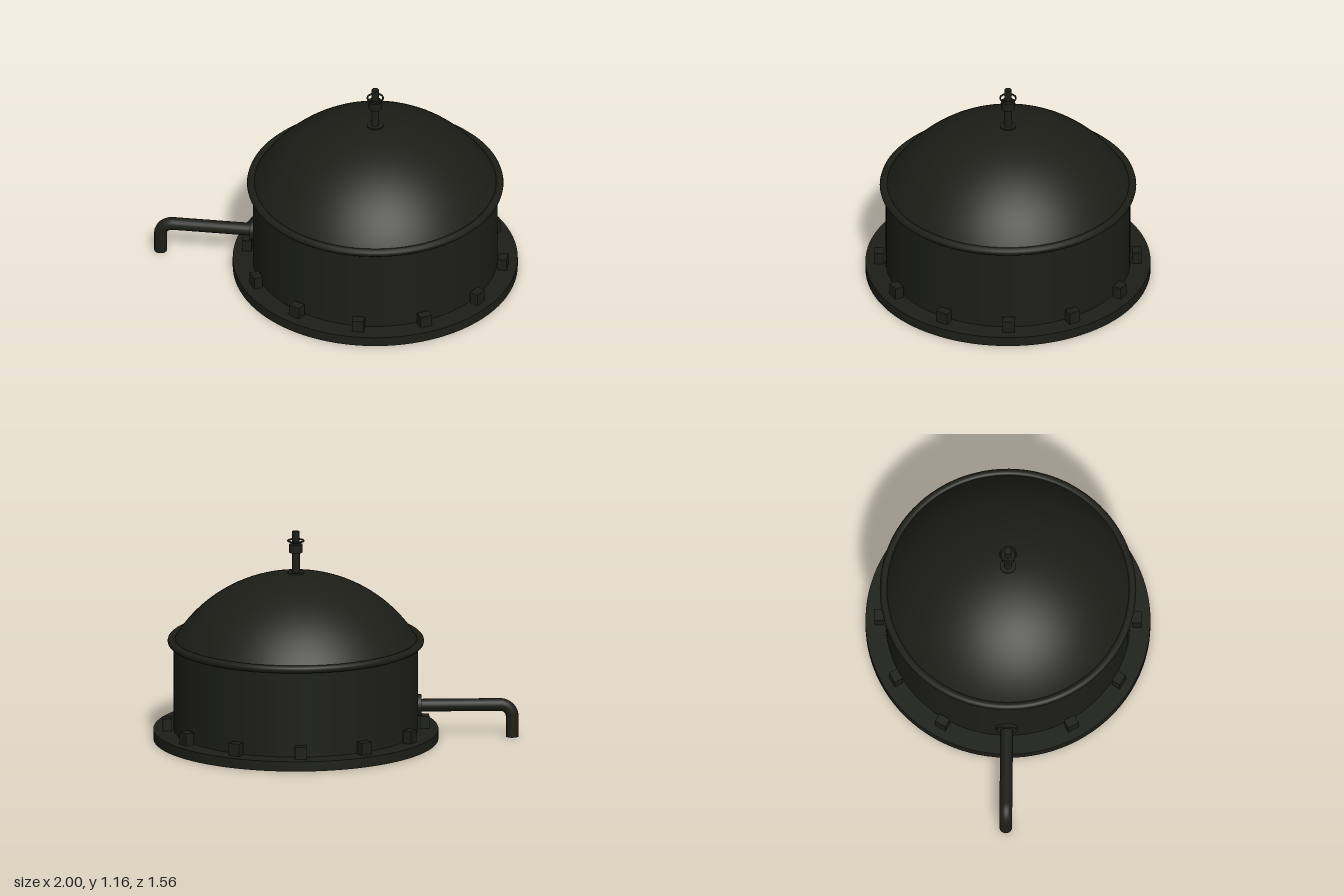
import * as THREE from 'three';

const CX = 0.22; // axis of the tank

export function createModel() {
  const model = new THREE.Group();
  const material = new THREE.MeshStandardMaterial({ color: 0x1c1e16 });

  function add(name, geometry, x, y, z = 0) {
    const mesh = new THREE.Mesh(geometry, material);
    mesh.name = name;
    mesh.position.set(x, y, z);
    model.add(mesh);
    return mesh;
  }
  // Upright disc or rod on the tank axis, between two heights
  function turned(name, radius, y0, y1, sides = 24) {
    return add(name, new THREE.CylinderGeometry(radius, radius, y1 - y0, sides), CX, (y0 + y1) / 2);
  }

  // Tank body
  turned('baseFlange', 0.78, 0, 0.055, 96);
  turned('drum', 0.67, 0.05, 0.55, 96);
  add('rimBead', new THREE.TorusGeometry(0.68, 0.022, 12, 96).rotateX(Math.PI / 2), CX, 0.55);

  // Dome: a spherical cap seated on the rim
  const R = 0.78, capAngle = Math.asin(0.67 / R);
  add('dome', new THREE.SphereGeometry(R, 96, 24, 0, Math.PI * 2, 0, capAngle), CX, 0.93 - R);

  // Ring of square bolts on the base flange
  for (let i = 0; i < 12; i++) {
    const a = (i * Math.PI) / 6;
    const bolt = add('flangeBolt', new THREE.BoxGeometry(0.05, 0.075, 0.066),
      CX + Math.cos(a) * 0.705, 0.0865, Math.sin(a) * 0.705);
    bolt.rotation.y = -a;
  }

  // Valve on top of the dome
  turned('valveFoot', 0.045, 0.915, 0.937);
  turned('valveStem', 0.022, 0.92, 1.06);
  turned('valveCollar', 0.037, 1.047, 1.092);
  turned('valveTip', 0.02, 1.09, 1.165);
  add('valveRing', new THREE.TorusGeometry(0.043, 0.005, 8, 32).rotateX(Math.PI / 2), CX, 1.112);

  // Drain pipe: out from the drum, then down to the ground
  const r = 0.035, bend = 0.068, pipeY = 0.18, endX = -1 + r;
  const path = new THREE.CurvePath();
  const v = (x, y) => new THREE.Vector3(x, y, 0);
  const k = bend * 0.4477; // handle offset for a quarter circle
  path.add(new THREE.LineCurve3(v(-0.43, pipeY), v(endX + bend, pipeY)));
  path.add(new THREE.CubicBezierCurve3(v(endX + bend, pipeY), v(endX + k, pipeY),
    v(endX, pipeY - k), v(endX, pipeY - bend)));
  path.add(new THREE.LineCurve3(v(endX, pipeY - bend), v(endX, 0)));
  add('drainPipe', new THREE.TubeGeometry(path, 96, r, 20), 0, 0);
  add('pipeEnd', new THREE.CircleGeometry(r, 20).rotateX(Math.PI / 2), endX, 0.001);
  add('pipeFlange', new THREE.CylinderGeometry(0.06, 0.06, 0.04, 24).rotateZ(Math.PI / 2), -0.447, pipeY);

  return model;
}
